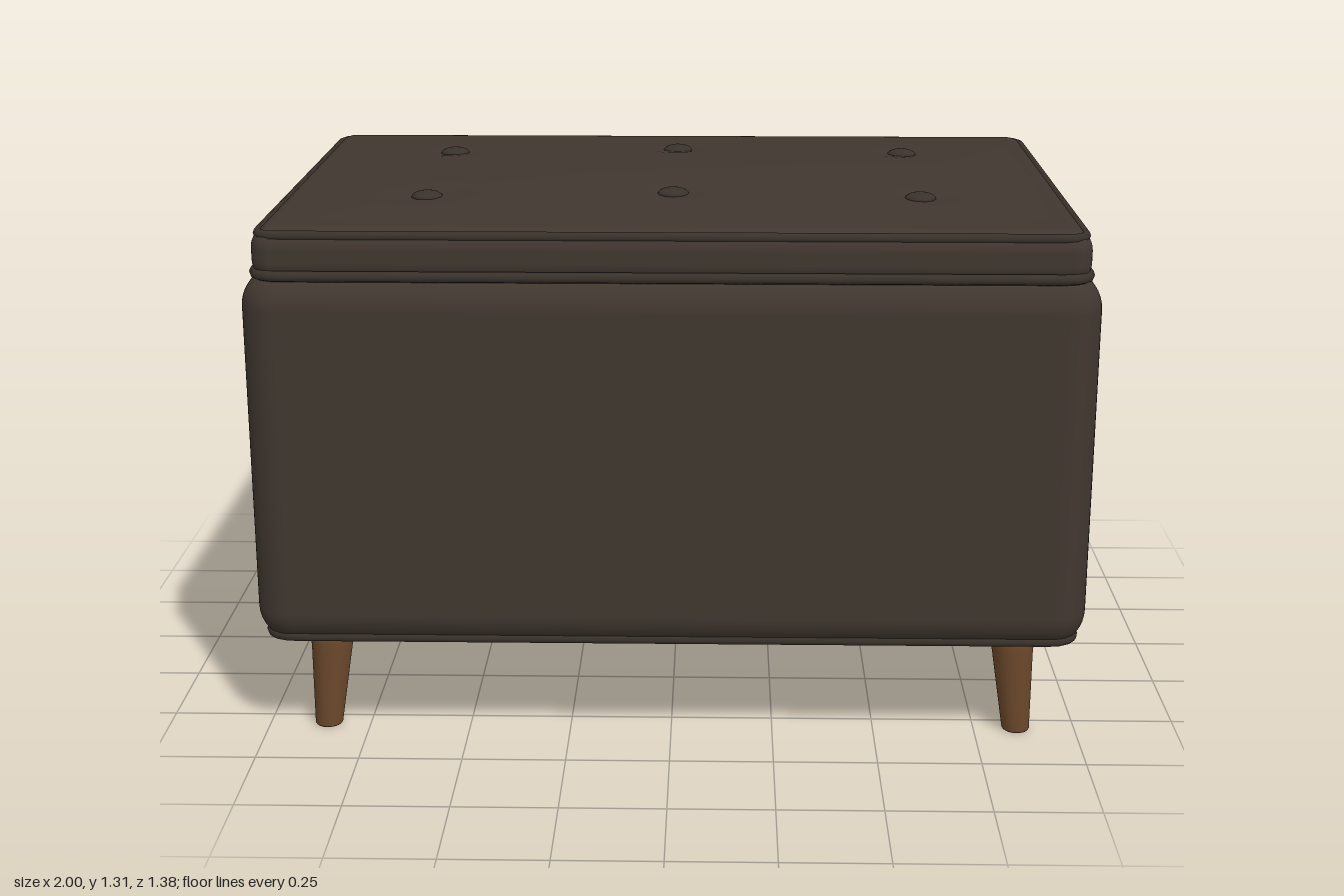
import * as THREE from 'three';
import { RoundedBoxGeometry } from 'three/addons/geometries/RoundedBoxGeometry.js';

const leather = new THREE.MeshStandardMaterial({ name: 'dark leather', color: 0x40372f });
const trim = new THREE.MeshStandardMaterial({ name: 'leather piping', color: 0x39322b });
const wood = new THREE.MeshStandardMaterial({ name: 'stained wood', color: 0x6e4a2c });

function add(parent, name, geometry, material, x = 0, y = 0, z = 0) {
  const mesh = new THREE.Mesh(geometry, material);
  mesh.name = name;
  mesh.position.set(x, y, z);
  parent.add(mesh);
  return mesh;
}

// Closed cord following a rounded rectangle of half sizes hx, hz
function pipingGeometry(hx, hz, corner, radius) {
  const points = [];
  const centres = [[1, 1], [-1, 1], [-1, -1], [1, -1]];
  centres.forEach(([sx, sz], i) => {
    for (let k = 0; k <= 4; k++) {
      const a = (i + k / 4) * Math.PI / 2;
      points.push(new THREE.Vector3(
        sx * (hx - corner) + corner * Math.cos(a), 0,
        sz * (hz - corner) + corner * Math.sin(a)));
    }
  });
  const path = new THREE.CurvePath();
  points.forEach((p, i) => path.add(new THREE.LineCurve3(p, points[(i + 1) % points.length])));
  const curve = new THREE.CatmullRomCurve3(path.getSpacedPoints(260).slice(0, -1), true);
  return new THREE.TubeGeometry(curve, 260, radius, 8, true);
}

const buttonSpots = [];
for (const x of [-0.6, 0, 0.6]) for (const z of [-0.3, 0.3]) buttonSpots.push([x, z]);

// Height of the crowned seat, with a shallow dimple at each button
function seatHeight(x, z, hx, hz) {
  let y = 1.279 + 0.031 * (1 - (x / hx) ** 2) * (1 - (z / hz) ** 2);
  for (const [bx, bz] of buttonSpots) {
    y -= 0.008 * Math.exp(-((x - bx) ** 2 + (z - bz) ** 2) / 0.005);
  }
  return y;
}

export function createModel() {
  const model = new THREE.Group();
  model.name = 'storageOttoman';

  // Upholstered box
  add(model, 'body', new RoundedBoxGeometry(2, 0.925, 1.38, 6, 0.09), leather, 0, 0.7175, 0);

  // Lid cushion
  add(model, 'lid', new RoundedBoxGeometry(1.94, 0.13, 1.32, 5, 0.05), leather, 0, 1.215, 0);

  // Crowned seat top
  const hx = 0.92, hz = 0.61;
  const top = new THREE.PlaneGeometry(hx * 2, hz * 2, 72, 48).rotateX(-Math.PI / 2);
  const pos = top.attributes.position;
  for (let i = 0; i < pos.count; i++) {
    pos.setY(i, seatHeight(pos.getX(i), pos.getZ(i), hx, hz));
  }
  top.computeVertexNormals();
  add(model, 'seatTop', top, leather);

  // Piping along the seams
  add(model, 'bottomPiping', pipingGeometry(0.972, 0.662, 0.06, 0.013), trim, 0, 0.28, 0);
  add(model, 'rimPiping', pipingGeometry(0.967, 0.662, 0.06, 0.013), trim, 0, 1.17, 0);
  add(model, 'lidPiping', pipingGeometry(0.954, 0.644, 0.04, 0.012), trim, 0, 1.262, 0);

  // Tufting buttons
  const buttons = new THREE.Group();
  buttons.name = 'buttons';
  model.add(buttons);
  for (const [x, z] of buttonSpots) {
    const button = add(buttons, 'button', new THREE.SphereGeometry(0.038, 20, 12), trim,
      x, seatHeight(x, z, hx, hz) + 0.002, z);
    button.scale.y = 0.4;
  }

  // Tapered legs leaning outwards
  const profile = [[0, 0], [0.031, 0], [0.034, 0.004], [0.05, 0.2], [0.053, 0.225], [0.053, 0.27], [0, 0.27]]
    .map(([r, y]) => new THREE.Vector2(r, y));
  for (const sx of [-1, 1]) for (const sz of [-1, 1]) {
    const leg = new THREE.LatheGeometry(profile, 24);
    const p = leg.attributes.position;
    for (let i = 0; i < p.count; i++) {
      const lean = 0.018 * (1 - p.getY(i) / 0.26);
      p.setX(i, p.getX(i) + sx * lean);
      p.setZ(i, p.getZ(i) + sz * lean);
    }
    const name = (sz > 0 ? 'front' : 'back') + (sx > 0 ? 'Left' : 'Right') + 'Leg';
    add(model, name, leg, wood, sx * 0.837, 0, sz * 0.527);
  }

  return model;
}
